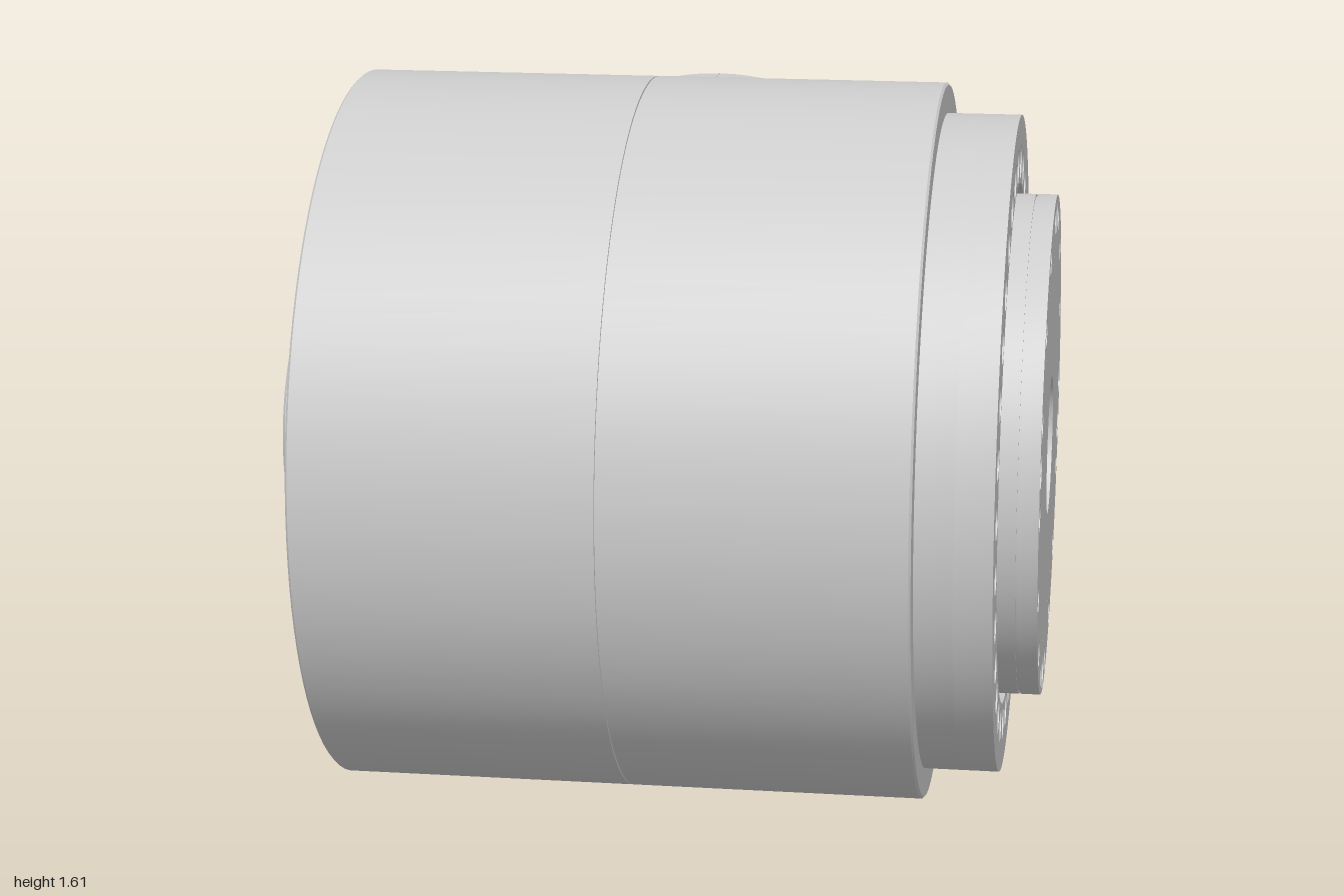
import * as THREE from 'three';
import { toCreasedNormals } from 'three/addons/utils/BufferGeometryUtils.js';

const CY = 0.807, CZ = 0.195;          // main axis, running along x
const BX = -0.06;                      // branch axis, running along z
const BODY_R = 0.805;

const metal = new THREE.MeshStandardMaterial({ color: 0xcccccc });
metal.name = 'light grey metal';

function add(group, name, geo) {
  const m = new THREE.Mesh(geo, metal);
  m.name = name;
  group.add(m);
  return m;
}

// Revolved profile of [radius, height] pairs
function lathe(points, segments = 96) {
  const pts = points.map(([r, h]) => new THREE.Vector2(r, h));
  return toCreasedNormals(new THREE.LatheGeometry(pts, segments), 0.5);
}

function circle(r, n, cx = 0, cy = 0) {
  return Array.from({ length: n }, (_, i) => {
    const a = (i / n) * Math.PI * 2;
    return new THREE.Vector2(cx + r * Math.cos(a), cy + r * Math.sin(a));
  });
}

// Round plate along +z with a centre hole and bolt holes [angle from top, pitch radius, hole radius]
function plate(outer, inner, depth, holes = []) {
  const shape = new THREE.Shape(circle(outer, 96));
  shape.holes.push(new THREE.Path(circle(inner, 64)));
  for (const [a, p, r] of holes) {
    shape.holes.push(new THREE.Path(circle(r, 20, p * Math.sin(a), p * Math.cos(a))));
  }
  return toCreasedNormals(new THREE.ExtrudeGeometry(shape, { depth, bevelEnabled: false }), 0.5);
}

const boltCircle = (n, p, r) =>
  Array.from({ length: n }, (_, i) => [(i / n) * Math.PI * 2, p, r]);

// Closed tube surface f(u, v): u runs around, v along
function tubeSurface(f, nu, nv) {
  const pos = [], idx = [];
  for (let i = 0; i <= nv; i++) {
    for (let j = 0; j < nu; j++) pos.push(...f(j / nu, i / nv));
  }
  for (let i = 0; i < nv; i++) {
    for (let j = 0; j < nu; j++) {
      const a = i * nu + j, b = i * nu + (j + 1) % nu, c = a + nu, d = b + nu;
      idx.push(a, b, c, b, d, c);
    }
  }
  const g = new THREE.BufferGeometry();
  g.setAttribute('position', new THREE.Float32BufferAttribute(pos, 3));
  g.setIndex(idx);
  return toCreasedNormals(g, 0.6);
}

function lerpTable(table, d) {
  for (let i = 1; i < table.length; i++) {
    const [d0, v0] = table[i - 1], [d1, v1] = table[i];
    if (d <= d1) return v0 + (v1 - v0) * Math.max(0, (d - d0) / (d1 - d0));
  }
  return 0;
}

// Neck: squarish oval section that flares into the flange and into the main cylinder
const NECK_START = -0.84, NECK_RY = 0.622, NECK_POWER = 2.6;
const FLANGE_FLARE = [[0, 0.167], [0.015, 0.16], [0.03, 0.145], [0.045, 0.11], [0.06, 0.058],
  [0.08, 0.025], [0.1, 0.01], [0.14, 0]];
const BODY_FLARE = [[0, 0.08], [0.01, 0.05], [0.025, 0.022], [0.045, 0.007], [0.07, 0]];
const rounded = (c, power) => Math.sign(c) * Math.abs(c) ** (2 / power);

// Horizontal screw holes open into the neck's upper and lower left sides
function drill(x, y, z) {
  for (const hz of [-0.72, -0.485]) {
    const v = (z - hz) / 0.046;
    if (Math.abs(v) < 1 && x < -0.16 - 0.035 * v * v) {
      return Math.sign(y) * Math.min(Math.abs(y), 0.547 - 0.046 * Math.sqrt(1 - v * v));
    }
  }
  return y;
}

function neckPoint(u, v) {
  const a = u * Math.PI * 2;
  const endY = NECK_RY * rounded(Math.sin(a), NECK_POWER);
  const end = CZ - Math.sqrt(BODY_R * BODY_R - endY * endY) + 0.006;
  const z = NECK_START + (end - NECK_START) * v;
  const flare = lerpTable(FLANGE_FLARE, z - NECK_START);
  const power = NECK_POWER - (NECK_POWER - 2) * (flare / 0.167);
  const x = (0.46 + flare + lerpTable(BODY_FLARE, end - z)) * rounded(Math.cos(a), power);
  return [x, drill(x, NECK_RY * rounded(Math.sin(a), power), z), z];
}

function createMainBody() {
  const g = new THREE.Group();
  g.name = 'mainBody';
  g.position.set(0, CY, CZ);

  const turned = (name, pts) => { add(g, name, lathe(pts)).rotation.z = -Math.PI / 2; };
  const disc = (name, x, outer, inner, depth, holes) => {
    const m = add(g, name, plate(outer, inner, depth, holes));
    m.rotation.y = Math.PI / 2;
    m.position.x = x;
  };

  // Housing with the fine split groove
  turned('housing', [[0.25, -0.655], [0.8, -0.655], [0.8, -0.715], [BODY_R, -0.71],
    [BODY_R, -0.0615], [0.8, -0.061], [0.8, -0.059], [BODY_R, -0.0585],
    [BODY_R, 0.59], [0.8, 0.595], [0.155, 0.595]]);
  disc('rearCover', -0.715, 0.8, 0.255, 0.06,
    boltCircle(4, 0.73, 0.036).filter((_, i) => i !== 1));

  // Through bore and the stepped spigot at the rear
  turned('boreAndSpigot', [[0.155, 0.84], [0.155, 0.6], [0.255, 0.6], [0.255, -0.85],
    [0.284, -0.85], [0.29, -0.844], [0.29, -0.77], [0.309, -0.77], [0.315, -0.764], [0.315, -0.715]]);

  // Output flange with counterbored bolt holes
  disc('flangeBase', 0.595, 0.737, 0.155, 0.0825, boltCircle(32, 0.632, 0.023));
  disc('flangeFace', 0.6775, 0.737, 0.585, 0.0825, boltCircle(32, 0.632, 0.039));

  // Output disc, five holes repeated in each quarter
  const discHoles = (small, large) => {
    const list = [];
    for (let q = 0; q < 4; q++) {
      for (const d of [-2.4, 9, 20, 42.5, 65]) {
        list.push([THREE.MathUtils.degToRad(q * 90 + d), 0.515, d === 9 ? large : small]);
      }
    }
    return list;
  };
  disc('outputDiscBase', 0.6775, 0.561, 0.155, 0.1205, discHoles(0.027, 0.027));
  disc('outputDiscGroove', 0.798, 0.556, 0.155, 0.004, discHoles(0.027, 0.027));
  disc('outputDiscRing', 0.802, 0.561, 0.4432, 0.043, discHoles(0.03, 0.041));
  disc('outputDiscCentre', 0.802, 0.4425, 0.155, 0.043);
  return g;
}

function createBranch() {
  const g = new THREE.Group();
  g.name = 'branch';
  g.position.set(BX, CY, 0);

  add(g, 'neck', tubeSurface(neckPoint, 256, 80));

  // Flange rim, recessed face and inner cavity; heights run towards the back
  const turned = (name, pts) => { add(g, name, lathe(pts)).rotation.x = -Math.PI / 2; };
  turned('branchRim', [[0.627, 0.835], [0.627, 0.992], [0.621, 1], [0.596, 1],
    [0.59, 0.994], [0.59, 0.965]]);
  const holes = boltCircle(16, 0.535, 0.027).filter((_, i) => i % 8 !== 0);
  const face = add(g, 'branchFace', plate(0.592, 0.18, 0.06, holes));
  face.rotation.y = Math.PI;
  face.position.z = -0.91;
  turned('branchFaceBacking', [[0.61, 0.909], [0.18, 0.909]]);
  turned('branchCavity', [[0.18, 0.965], [0.18, 0.88], [0.42, 0.88], [0.42, 0.065], [0, 0.065]]);

  // Fine split line, above and below
  for (const s of [1, -1]) {
    add(g, 'splitLine', new THREE.BoxGeometry(0.003, 0.006, 0.66))
      .position.set(0, s * 0.625, -0.662);
  }
  return g;
}

export function createModel() {
  const model = new THREE.Group();
  model.name = 'rotaryJoint';
  model.add(createMainBody(), createBranch());
  return model;
}
